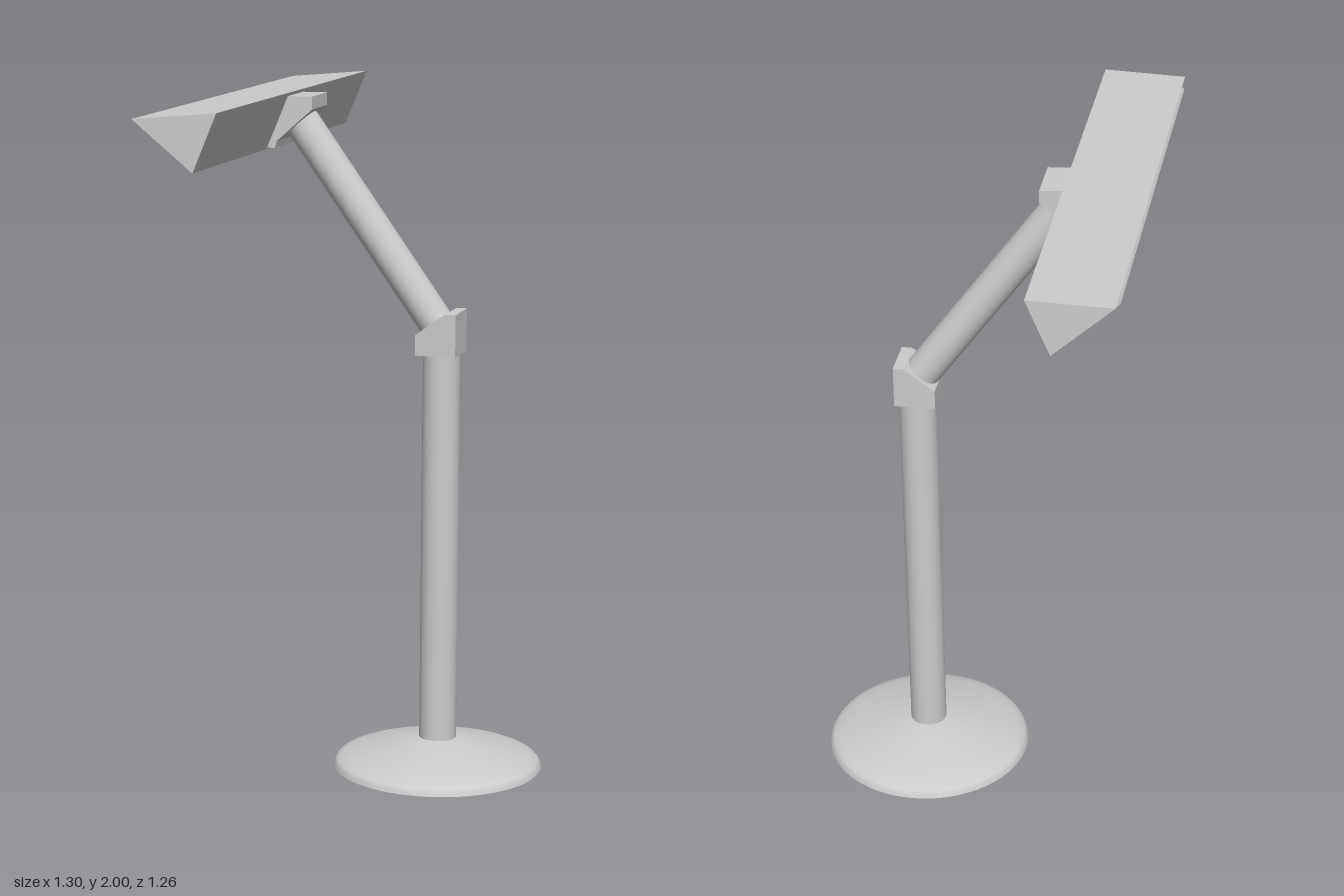
import * as THREE from 'three';
import { toCreasedNormals } from 'three/addons/utils/BufferGeometryUtils.js';

const material = new THREE.MeshStandardMaterial({ color: 0xcccccc });
const CENTRE = 0.066;   // sideways centre of stand and arm, in the lamp's turned frame
const POLE_Z = 0.459;

function add(parent, name, geometry) {
  const mesh = new THREE.Mesh(geometry, material);
  mesh.name = name;
  parent.add(mesh);
  return mesh;
}

// Extrudes a (z, y) profile sideways from x0 to x1, slanting the ends by skew
function prism(profile, x0, x1, skew = 0) {
  const shape = new THREE.Shape(profile.map(([z, y]) => new THREE.Vector2(z, y)));
  const geometry = new THREE.ExtrudeGeometry(shape, { depth: x1 - x0, bevelEnabled: false });
  geometry.rotateY(-Math.PI / 2).translate(x1, 0, 0);
  const slant = new THREE.Matrix4().set(1, 0, skew, 0, 0, 1, 0, 0, 0, 0, 1, 0, 0, 0, 0, 1);
  return geometry.applyMatrix4(slant);
}

// Round tube between two (z, y) points in the centre plane
function rod(radius, [z0, y0], [z1, y1]) {
  const a = new THREE.Vector3(CENTRE, y0, z0);
  const b = new THREE.Vector3(CENTRE, y1, z1);
  const dir = b.clone().sub(a);
  const geometry = new THREE.CylinderGeometry(radius, radius, dir.length(), 40);
  const turn = new THREE.Quaternion().setFromUnitVectors(new THREE.Vector3(0, 1, 0), dir.normalize());
  geometry.applyQuaternion(turn);
  const mid = a.add(b).multiplyScalar(0.5);
  return geometry.translate(mid.x, mid.y, mid.z);
}

export function createModel() {
  const model = new THREE.Group();
  model.name = 'floorLamp';

  // Everything sits in a frame turned about the vertical
  const lamp = new THREE.Group();
  lamp.name = 'lamp';
  lamp.rotation.y = THREE.MathUtils.degToRad(38.9);
  model.add(lamp);

  // Shallow conical foot with a rounded rim
  const foot = [[0, 0], [0.31, 0], [0.308, 0.01], [0.298, 0.02], [0.28, 0.028], [0.255, 0.036], [0.055, 0.087], [0, 0.087]];
  const base = new THREE.LatheGeometry(foot.map(([r, y]) => new THREE.Vector2(r, y)), 64);
  add(lamp, 'base', toCreasedNormals(base, 0.6)).position.set(CENTRE, 0, POLE_Z);

  add(lamp, 'pole', rod(0.055, [POLE_Z, 0.07], [POLE_Z, 1.26]));

  // Elbow block with a chamfer that the arm rises from
  add(lamp, 'elbow', prism(
    [[0.395, 1.25], [0.516, 1.25], [0.516, 1.375], [0.485, 1.375], [0.395, 1.31]],
    CENTRE - 0.063, CENTRE + 0.063));

  add(lamp, 'arm', rod(0.052, [0.452, 1.323], [0.018, 1.927]));

  const skew = 0.125;

  // Chamfered bracket holding the head
  add(lamp, 'headBracket', prism(
    [[-0.06, 1.84], [-0.025, 1.84], [-0.02, 1.86], [0.083, 1.953], [0.083, 1.99], [0, 1.99]],
    -0.013, 0.131, skew));

  // Wedge-shaped head: flat top, leaning front, sloping underside
  const low = [-0.05, 1.836];
  const high = [-0.217, 1.98];
  add(lamp, 'head', prism([low, [0.016, 2], high], -0.637, 0.761, skew));

  // Thin light panel standing proud of the sloping underside
  const slope = new THREE.Vector2(high[0] - low[0], high[1] - low[1]).normalize();
  const onSlope = (s, out) => [
    low[0] + slope.x * s - slope.y * out,
    low[1] + slope.y * s + slope.x * out,
  ];
  add(lamp, 'lightPanel', prism(
    [onSlope(0.012, -0.005), onSlope(0.214, -0.005), onSlope(0.214, 0.015), onSlope(0.012, 0.015)],
    -0.585, 0.71, skew));

  return model;
}
